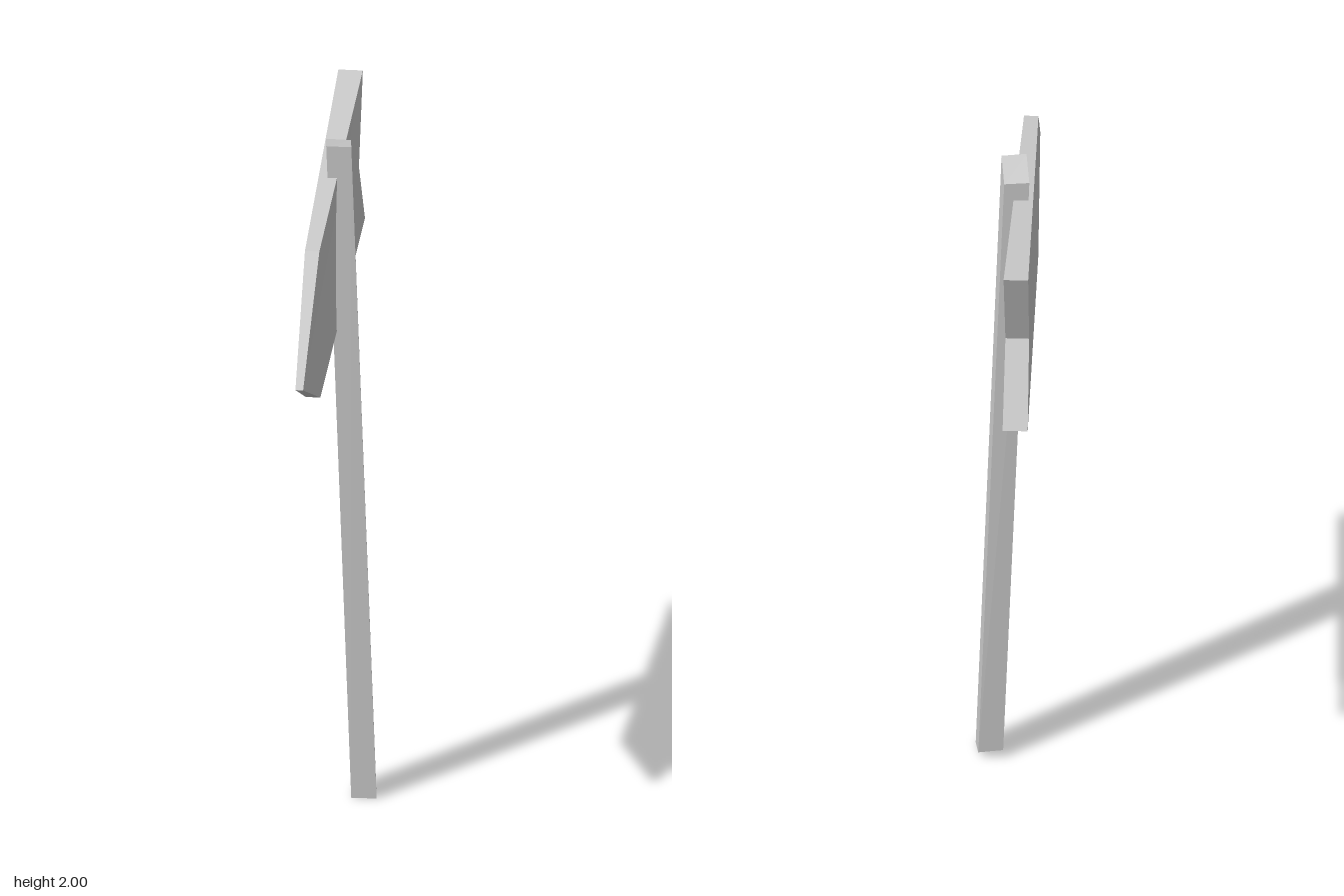
import * as THREE from 'three';

const material = new THREE.MeshStandardMaterial({ color: 0xcccccc, flatShading: true, side: THREE.DoubleSide });

// Leaning square post: a box whose corners are moved, open underneath
function createPost() {
  // corner order: front -x, front +x, back +x, back -x
  const top = [[-0.058, 2.0, -0.046], [0.012, 1.998, -0.056], [0, 1.972, -0.163], [-0.071, 1.975, -0.158]];
  const bottom = [[0.015, 0.004, -0.026], [0.086, 0, -0.037], [0.075, 0.022, -0.123], [0.005, 0.026, -0.114]];
  const geometry = new THREE.BoxGeometry(1, 1, 1);
  const p = geometry.attributes.position;
  for (let i = 0; i < p.count; i++) {
    const ring = p.getY(i) > 0 ? top : bottom;
    const corner = p.getZ(i) > 0 ? (p.getX(i) < 0 ? 0 : 1) : (p.getX(i) > 0 ? 2 : 3);
    p.setXYZ(i, ...ring[corner]);
  }
  // drop the underside
  const index = Array.from(geometry.index.array);
  index.splice(18, 6);
  geometry.setIndex(index);
  geometry.clearGroups();
  geometry.computeVertexNormals();
  const post = new THREE.Mesh(geometry, material);
  post.name = 'post';
  return post;
}

// Arrow board: outline in (z, y), thinning towards its tip
function createBoard() {
  const outline = [[0.71, 1.577], [0.367, 1.857], [-0.655, 1.972], [-0.563, 1.715], [-0.705, 1.495], [0.345, 1.397]];
  const shape = new THREE.Shape(outline.map(([z, y]) => new THREE.Vector2(z, y)));
  const geometry = new THREE.ExtrudeGeometry(shape, { depth: 2, bevelEnabled: false });
  geometry.translate(0, 0, -1);
  geometry.rotateY(-Math.PI / 2);
  const p = geometry.attributes.position;
  for (let i = 0; i < p.count; i++) {
    const z = p.getZ(i);
    const half = z > 0.36
      ? THREE.MathUtils.mapLinear(z, 0.36, 0.71, 0.0207, 0.011)
      : THREE.MathUtils.mapLinear(z, -0.705, 0.36, 0.0355, 0.0207);
    p.setX(i, -0.054 + p.getX(i) * half);
  }
  geometry.computeVertexNormals();
  const board = new THREE.Mesh(geometry, material);
  board.name = 'arrowBoard';
  return board;
}

export function createModel() {
  const model = new THREE.Group();
  model.name = 'signpost';
  model.add(createPost(), createBoard());
  return model;
}
